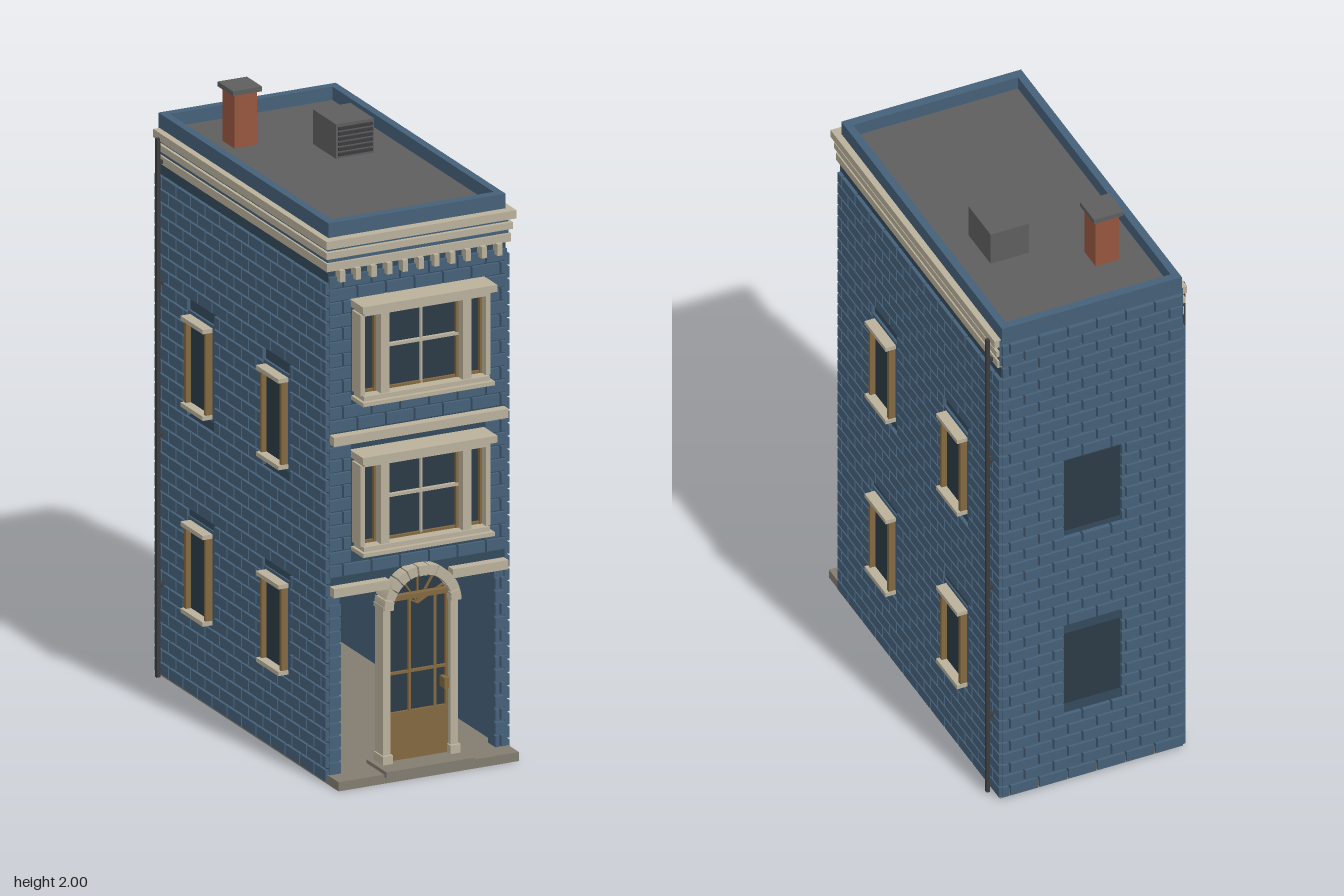
import * as THREE from 'three';
import { mergeGeometries } from 'three/addons/utils/BufferGeometryUtils.js';

const flat = (name, color) => {
  const m = new THREE.MeshStandardMaterial({ color });
  m.name = name;
  return m;
};
const brick = flat('blue brick', 0x456078);
const mortar = flat('dark blue mortar', 0x344a5c);
const stone = flat('pale stone', 0xbab19c);
const paving = flat('grey paving', 0x827c70);
const wood = flat('brown wood', 0x82683f);
const glass = flat('dark glass', 0x2b3a46);
const roofing = flat('grey roofing', 0x5e5e5e);
const iron = flat('dark iron', 0x3c3c3e);
const clay = flat('red chimney brick', 0x96563f);

// Box geometry from its limits
function slab(x0, x1, y0, y1, z0, z1) {
  return new THREE.BoxGeometry(x1 - x0, y1 - y0, z1 - z0)
    .translate((x0 + x1) / 2, (y0 + y1) / 2, (z0 + z1) / 2);
}

function part(parent, name, material, geometries) {
  const mesh = new THREE.Mesh(mergeGeometries(geometries), material);
  mesh.name = name;
  parent.add(mesh);
  return mesh;
}

function group(parent, name) {
  const g = new THREE.Group();
  g.name = name;
  parent.add(g);
  return g;
}

// Running-bond bricks over u0..u1, leaving out rectangular holes [u0, u1, y0, y1]
function bricks(u0, u1, y0, y1, holes, place) {
  const out = [], pitch = 0.0434, length = 0.1, gap = 0.007;
  for (let row = 0, y = y0; y + pitch <= y1 + 0.01; row++, y += pitch) {
    for (let u = u0 - (row % 2) * length / 2; u < u1; u += length) {
      let spans = [[Math.max(u, u0), Math.min(u + length - gap, u1)]];
      for (const [h0, h1, b, t] of holes) {
        if (y + pitch - gap <= b || y >= t) continue;
        spans = spans.flatMap(([a, c]) => (c <= h0 || a >= h1) ? [[a, c]] : [[a, h0], [h1, c]]);
      }
      for (const [a, c] of spans) if (c - a > 0.008) out.push(place(a, c, y, y + pitch - gap));
    }
  }
  return out;
}

// Projecting front window; y is the underside of its sill
function bayWindow(parent, y) {
  const g = group(parent, 'bayWindow');
  part(g, 'bayGlass', glass, [slab(-0.21, 0.21, y + 0.02, y + 0.3, 0.53, 0.562)]);
  part(g, 'bayStonework', stone, [
    slab(-0.23, 0.23, y, y + 0.013, 0.54, 0.625),
    slab(-0.22, 0.22, y + 0.013, y + 0.028, 0.54, 0.61),
    slab(-0.22, 0.22, y + 0.295, y + 0.31, 0.54, 0.615),
    slab(-0.235, 0.235, y + 0.31, y + 0.333, 0.54, 0.632),
    ...[-1, 1].flatMap((s) => [
      slab(s * 0.143 - 0.015, s * 0.143 + 0.015, y + 0.028, y + 0.295, 0.555, 0.605),
      slab(s * 0.219 - 0.008, s * 0.219 + 0.008, y + 0.028, y + 0.295, 0.54, 0.6),
    ]),
    slab(-0.004, 0.004, y + 0.028, y + 0.295, 0.56, 0.572),
    slab(-0.128, 0.128, y + 0.167, y + 0.177, 0.56, 0.575),
  ]);
  const bars = [-1, 1].flatMap((s) => [0.124, 0.163, 0.207].map(
    (x) => slab(s * x - 0.004, s * x + 0.004, y + 0.028, y + 0.295, 0.556, 0.574)));
  part(g, 'bayFrame', wood, [...bars, slab(-0.21, 0.21, y + 0.028, y + 0.036, 0.556, 0.572)]);
}

// Window on the +x wall; the other wall uses a turned copy
function sideWindow(parent, y, z, s) {
  const g = group(parent, 'sideWindow');
  g.position.set(s * 0.31, y, z);
  g.rotation.y = s > 0 ? 0 : Math.PI;
  part(g, 'surround', brick, [slab(0, 0.008, -0.01, 0.31, -0.092, 0.092)]);
  part(g, 'pane', glass, [slab(0, 0.013, 0.01, 0.29, -0.07, 0.07)]);
  part(g, 'sillAndLintel', stone, [
    slab(0, 0.043, 0, 0.014, -0.077, 0.077), slab(0, 0.043, 0.286, 0.3, -0.077, 0.077),
  ]);
  part(g, 'jambs', wood, [-1, 1].map(
    (e) => slab(0, 0.031, 0.014, 0.286, e * 0.068 - 0.006, e * 0.068 + 0.006)));
}

function doorway(parent) {
  const g = group(parent, 'doorway');
  const spring = 0.55;
  // Door leaf with tall panes and a lower panel
  part(g, 'doorGlass', glass, [
    slab(-0.104, 0.104, 0.2, spring, 0.525, 0.54),
    new THREE.CylinderGeometry(0.104, 0.104, 0.015, 24, 1, false, Math.PI / 2, Math.PI)
      .rotateX(Math.PI / 2).translate(0, spring, 0.5325),
  ]);
  part(g, 'doorWood', wood, [
    slab(-0.104, 0.104, 0.04, 0.2, 0.52, 0.55),
    slab(-0.104, 0.104, 0.325, 0.333, 0.53, 0.55),
    slab(-0.104, 0.104, 0.572, 0.588, 0.53, 0.562),
    ...[-0.1, -0.03, 0.06, 0.1].map((x) => slab(x - 0.004, x + 0.004, 0.2, 0.575, 0.53, 0.55)),
    slab(0.075, 0.09, 0.265, 0.3, 0.55, 0.585),
  ]);
  part(g, 'fanlightBars', wood, [0.5, 1, 1.57, 2.14, 2.64].map((a) =>
    new THREE.BoxGeometry(0.1, 0.005, 0.01).translate(0.05, 0, 0).rotateZ(a)
      .translate(0, spring, 0.543)));
  // Stone jambs, capitals and wedge-shaped arch stones
  const surround = [-1, 1].flatMap((s) => [
    slab(s * 0.118 - 0.013, s * 0.118 + 0.013, 0.04, spring, 0.51, 0.565),
    slab(s * 0.118 - 0.018, s * 0.118 + 0.018, spring, spring + 0.015, 0.51, 0.58),
    slab(s * 0.118 - 0.018, s * 0.118 + 0.018, 0.035, 0.07, 0.51, 0.575),
  ]);
  const count = 11;
  for (let i = 0; i < count; i++) {
    const a = Math.PI * i / count + 0.015, b = Math.PI * (i + 1) / count - 0.015;
    const wedge = new THREE.Shape();
    wedge.absarc(0, 0, 0.135, a, b, false);
    wedge.absarc(0, 0, 0.102, b, a, true);
    surround.push(new THREE.ExtrudeGeometry(wedge, { depth: 0.07, bevelEnabled: false, curveSegments: 3 })
      .translate(0, spring, i === 5 ? 0.518 : 0.512).toNonIndexed());
  }
  part(g, 'doorSurround', stone, surround.map((s) => (s.index ? s.toNonIndexed() : s)));
}

export function createModel() {
  const house = new THREE.Group();
  house.name = 'townhouse';

  // Ground floor is an open shell, the upper storeys are solid
  part(house, 'groundWalls', brick, [
    ...[-1, 1].map((s) => slab(s * 0.3 - 0.01, s * 0.3 + 0.01, 0.03, 0.62, -0.62, 0.54)),
    ...[-1, 1].map((s) => slab(s * 0.285 - 0.015, s * 0.285 + 0.015, 0.03, 0.62, 0.5, 0.54)),
    slab(-0.29, 0.29, 0.03, 0.62, -0.62, -0.58),
  ]);
  part(house, 'upperWalls', mortar, [slab(-0.31, 0.31, 0.62, 1.8, -0.62, 0.54)]);
  part(house, 'mortarSkin', mortar, [
    ...[-1, 1].map((s) => slab(s * 0.311 - 0.002, s * 0.311 + 0.002, 0.03, 0.62, -0.62, 0.54)),
    slab(-0.31, 0.31, 0.03, 0.62, -0.623, -0.62),
  ]);
  part(house, 'baseSlab', paving, [
    slab(-0.315, 0.315, 0, 0.03, -0.625, 0.622), slab(-0.155, 0.155, 0.022, 0.042, 0.5, 0.637),
  ]);

  // Raised brickwork
  const levels = [0.28, 0.96];
  const sideHoles = levels.flatMap((y) => [0.205, -0.315].map(
    (z) => [z - 0.092, z + 0.092, y - 0.01, y + 0.31]));
  const backHoles = levels.map((y) => [-0.1, 0.1, y + 0.02, y + 0.3]);
  const frontHoles = [
    [-0.27, 0.27, 0, 0.64], [-0.31, 0.31, 0.62, 0.65], [-0.31, 0.31, 1.12, 1.15],
    [-0.235, 0.235, 0.76, 1.09], [-0.235, 0.235, 1.255, 1.59], [-0.135, 0.135, 0.6, 0.68],
  ];
  part(house, 'frontBricks', brick, bricks(-0.31, 0.31, 0.03, 1.69, frontHoles,
    (a, b, y0, y1) => slab(a, b, y0, y1, 0.53, 0.551)));
  part(house, 'backBricks', brick, bricks(-0.31, 0.31, 0.01, 1.8, backHoles,
    (a, b, y0, y1) => slab(a, b, y0, y1, -0.636, -0.61)));
  for (const s of [-1, 1]) {
    part(house, s > 0 ? 'leftBricks' : 'rightBricks', brick,
      bricks(-0.63, 0.545, 0.01, 1.69, sideHoles,
        (a, b, y0, y1) => slab(s * 0.313 - 0.009, s * 0.313 + 0.009, y0, y1, a, b)));
  }

  // Windows and door
  for (const y of levels) {
    for (const z of [0.205, -0.315]) for (const s of [-1, 1]) sideWindow(house, y, z, s);
    part(house, 'backWindow', glass, [slab(-0.098, 0.098, y + 0.022, y + 0.296, -0.626, -0.6)]);
  }
  bayWindow(house, 0.758);
  bayWindow(house, 1.256);
  doorway(house);

  // String courses, split around the door arch
  part(house, 'stringCourses', stone, [
    slab(-0.305, 0.305, 1.12, 1.15, 0.53, 0.572),
    slab(-0.305, -0.11, 0.62, 0.65, 0.53, 0.572), slab(0.11, 0.305, 0.62, 0.65, 0.53, 0.572),
  ]);

  // Stepped cornice with dentils
  part(house, 'cornice', stone, [
    slab(-0.322, 0.322, 1.695, 1.722, -0.62, 0.556),
    slab(-0.326, 0.326, 1.738, 1.76, -0.62, 0.562),
    slab(-0.332, 0.332, 1.775, 1.802, -0.62, 0.574),
  ]);
  part(house, 'corniceCore', brick, [slab(-0.316, 0.316, 1.7, 1.8, -0.622, 0.548)]);
  part(house, 'dentils', stone, Array.from({ length: 11 }, (_, i) => {
    const x = (i - 5) * 0.055;
    return slab(x - 0.009, x + 0.009, 1.66, 1.698, 0.53, 0.572);
  }));

  // Flat roof, parapet, chimney and vent
  part(house, 'roofDeck', roofing, [slab(-0.29, 0.29, 1.79, 1.806, -0.605, 0.515)]);
  part(house, 'parapet', brick, [
    ...[-1, 1].map((s) => slab(s * 0.297 - 0.013, s * 0.297 + 0.013, 1.79, 1.85, -0.628, 0.542)),
    slab(-0.284, 0.284, 1.79, 1.85, -0.628, -0.6), slab(-0.284, 0.284, 1.79, 1.85, 0.51, 0.542),
  ]);
  part(house, 'chimney', clay, [slab(-0.195, -0.115, 1.8, 1.985, -0.412, -0.332)]);
  part(house, 'chimneyCap', roofing, [slab(-0.206, -0.104, 1.984, 2, -0.424, -0.32)]);
  part(house, 'roofVent', roofing, [slab(0.043, 0.175, 1.8, 1.92, -0.26, -0.1)]);
  part(house, 'ventLouvres', iron, Array.from({ length: 6 }, (_, i) =>
    slab(0.05, 0.168, 1.815 + i * 0.017, 1.825 + i * 0.017, -0.102, -0.093)));

  // Downpipes near the back corners
  for (const s of [-1, 1]) {
    part(house, 'downpipe', iron, [
      slab(s * 0.337 - 0.006, s * 0.337 + 0.006, 0.005, 1.785, -0.586, -0.573),
      ...[0.3, 0.8, 1.3, 1.7].map((y) =>
        slab(s * 0.329 - 0.012, s * 0.329 + 0.012, y, y + 0.012, -0.587, -0.572)),
    ]);
  }
  return house;
}
